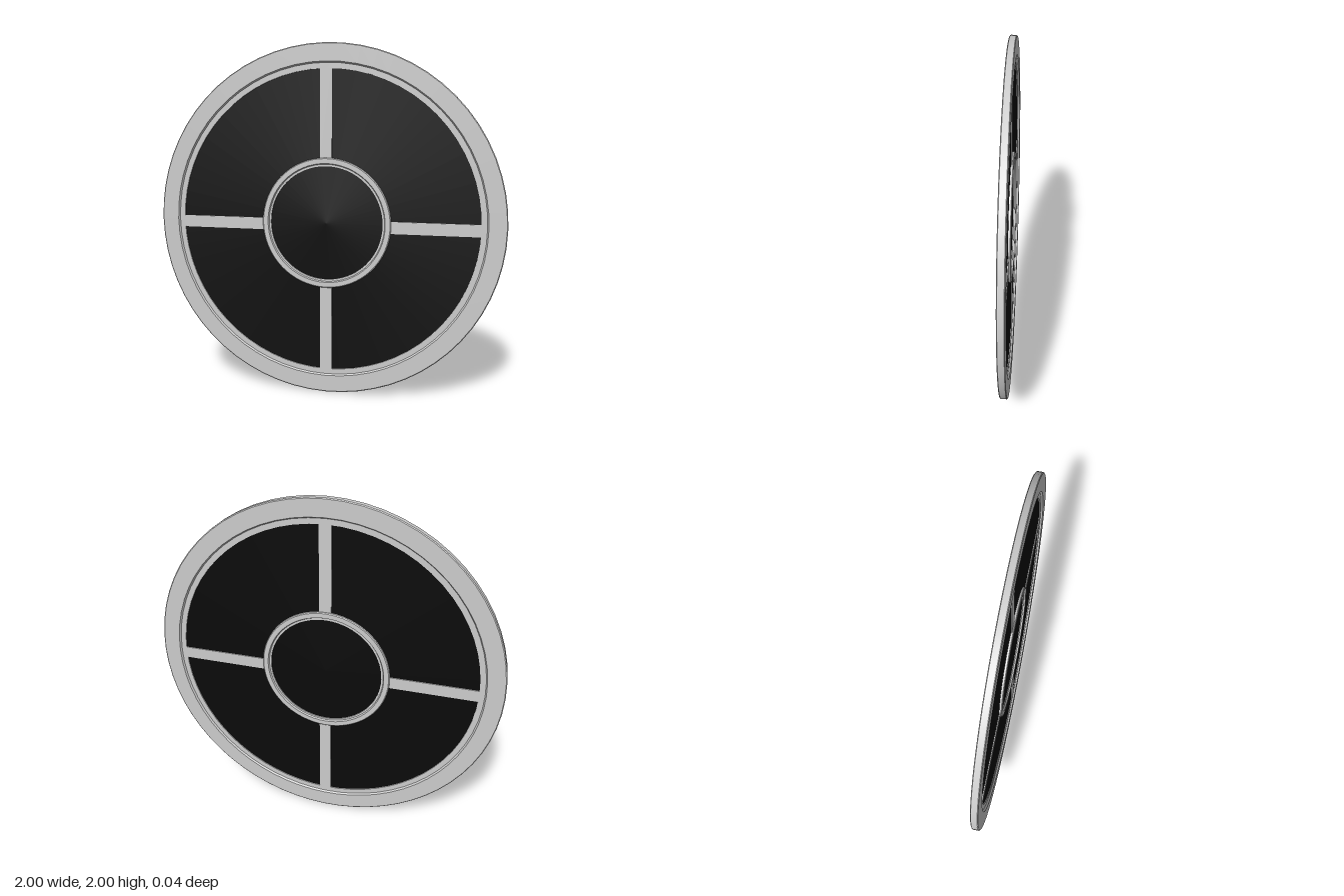
import * as THREE from 'three';
import { toCreasedNormals } from 'three/addons/utils/BufferGeometryUtils.js';

const SEGMENTS = 64;

export function createModel() {
  const model = new THREE.Group();
  model.name = 'roundWindow';
  const frameMat = new THREE.MeshStandardMaterial({ color: 0xcccccc });
  const glassMat = new THREE.MeshStandardMaterial({ color: 0x0a0a0a });

  function add(name, geometry, material, y = 1) {
    const mesh = new THREE.Mesh(geometry, material);
    mesh.name = name;
    mesh.position.y = y;
    model.add(mesh);
  }

  // Ring from a closed [radius, z] section, turned about the z axis
  function ring(name, section) {
    const points = [...section, section[0]].map(([r, z]) => new THREE.Vector2(r, z));
    const geometry = new THREE.LatheGeometry(points, SEGMENTS).rotateX(Math.PI / 2);
    add(name, toCreasedNormals(geometry, 0.5), frameMat);
  }

  // Outer frame: bevelled rim with a recessed lip holding the glass
  ring('outerFrame', [
    [0.995, -0.02], [1, -0.016], [1, 0.016], [0.995, 0.02],
    [0.9, 0.02], [0.893, 0.009], [0.862, 0.009],
    [0.862, -0.009], [0.893, -0.009], [0.9, -0.02],
  ]);

  // Central ring with a stepped inner lip
  ring('centreRing', [
    [0.368, -0.018], [0.373, -0.014], [0.373, 0.014], [0.368, 0.018],
    [0.341, 0.018], [0.336, 0.009], [0.325, 0.009],
    [0.325, -0.009], [0.336, -0.009], [0.341, -0.018],
  ]);

  // Four glazing bars between the two rings
  const inner = 0.35, outer = 0.88, length = outer - inner, middle = (inner + outer) / 2;
  for (const side of [1, -1]) {
    add('verticalBar', new THREE.BoxGeometry(0.068, length, 0.018).translate(0, side * middle, 0), frameMat);
    add('horizontalBar', new THREE.BoxGeometry(length, 0.068, 0.018).translate(side * middle, 0, 0), frameMat, 0.988);
  }

  // Dark glass pane
  add('glass', new THREE.CylinderGeometry(0.88, 0.88, 0.006, SEGMENTS).rotateX(Math.PI / 2), glassMat);

  return model;
}
